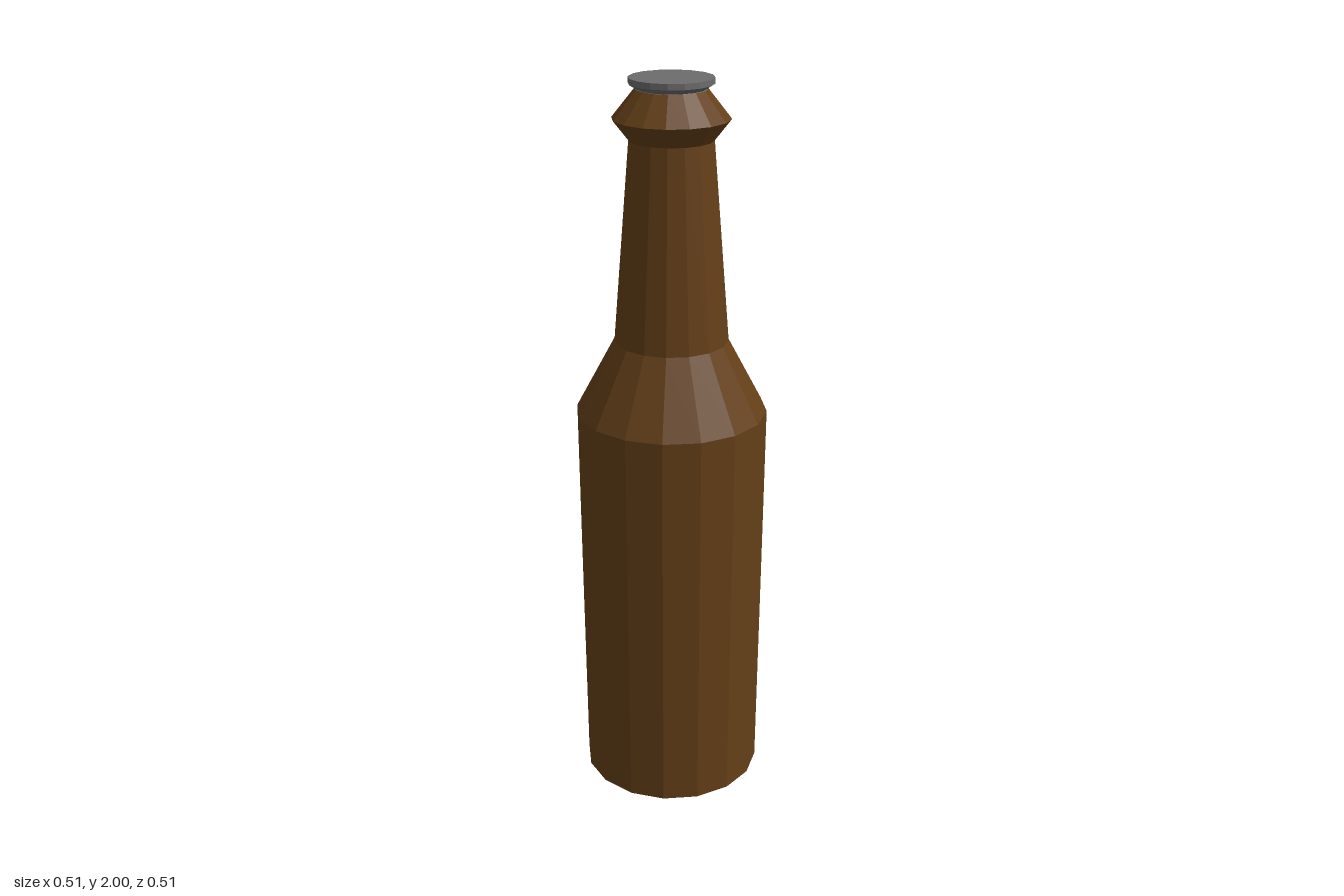
import * as THREE from 'three';

const SIDES = 16;

// Revolved, faceted part from a bottom-to-top [radius, height] profile
function turned(name, profile, color) {
  const points = profile.map(([r, y]) => new THREE.Vector2(r, y));
  const material = new THREE.MeshStandardMaterial({ color, flatShading: true, side: THREE.DoubleSide });
  const mesh = new THREE.Mesh(new THREE.LatheGeometry(points, SIDES), material);
  mesh.name = name;
  return mesh;
}

export function createModel() {
  const group = new THREE.Group();
  group.name = 'bottle';
  const glass = 0x643f18;

  // Base, tapered body, shoulder and neck
  group.add(turned('bottleBody', [
    [0, 0], [0.065, 0], [0.245, 0.045], [0.25, 0.62], [0.254, 1.13],
    [0.15, 1.325], [0.108, 1.847],
  ], glass));

  // Bulging lip around the mouth
  group.add(turned('lip', [
    [0.108, 1.847], [0.15, 1.9], [0.092, 1.972],
  ], glass));

  // Cap: small skirt, flared rim and flat top
  group.add(turned('cap', [
    [0.1, 1.958], [0.087, 1.972], [0.108, 1.985], [0.108, 2], [0, 2],
  ], 0x6c6c6c));

  return group;
}
